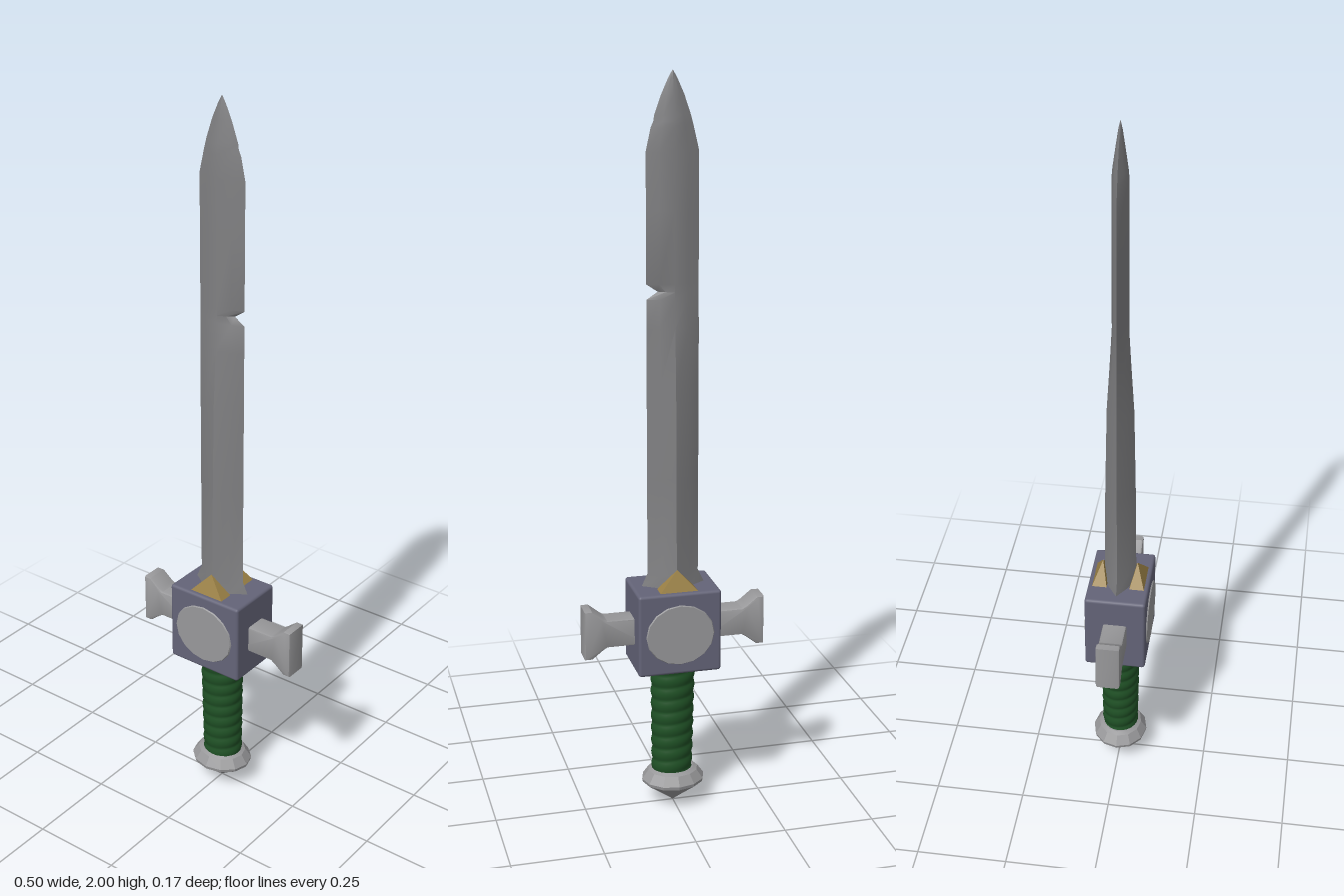
import * as THREE from 'three';
import { toCreasedNormals } from 'three/addons/utils/BufferGeometryUtils.js';
import { RoundedBoxGeometry } from 'three/addons/geometries/RoundedBoxGeometry.js';

const flatColor = (name, color) => {
  const m = new THREE.MeshStandardMaterial({ color });
  m.name = name;
  return m;
};

// Skin a stack of closed rings, each ring running from +x towards +z
function loft(rings) {
  const n = rings[0].length;
  const index = [];
  for (let i = 0; i < rings.length - 1; i++) {
    for (let j = 0; j < n; j++) {
      const k = (j + 1) % n;
      const a = i * n + j, b = i * n + k, c = a + n, d = b + n;
      index.push(a, c, b, b, c, d);
    }
  }
  const g = new THREE.BufferGeometry();
  g.setAttribute('position', new THREE.Float32BufferAttribute(rings.flat(2), 3));
  g.setIndex(index);
  return g;
}

// Blade stations: height, left edge, right edge, half depth
function bladeGeometry() {
  const stations = [
    [0.60, 0.086, 0.086, 0.047], [0.645, 0.086, 0.086, 0.047], [0.68, 0.07, 0.07, 0.044],
    [0.95, 0.07, 0.07, 0.041], [1.2, 0.07, 0.07, 0.036], [1.35, 0.07, 0.07, 0.027],
    [1.425, 0.069, 0.07, 0.023], [1.445, 0.069, 0.04, 0.022], [1.465, 0.069, 0.07, 0.022],
    [1.65, 0.069, 0.07, 0.022], [1.8, 0.069, 0.07, 0.022], [1.86, 0.055, 0.057, 0.021],
    [1.875, 0.051, 0.05, 0.02], [1.89, 0.047, 0.048, 0.018], [1.94, 0.03, 0.03, 0.011],
    [1.98, 0.012, 0.012, 0.005], [2.0, 0.0005, 0.0005, 0.0005],
  ];
  return loft(stations.map(([y, l, r, d]) => [
    [r, y, 0], [0.55 * r, y, 0.55 * d], [0, y, d], [-0.55 * l, y, 0.55 * d],
    [-l, y, 0], [-0.55 * l, y, -0.55 * d], [0, y, -d], [0.55 * r, y, -0.55 * d],
  ]));
}

// Grip with a spiral wrap raised on its surface
function gripGeometry() {
  const rings = [];
  for (let i = 0; i <= 72; i++) {
    const t = i / 72, y = 0.095 + t * 0.33;
    const ring = [];
    for (let j = 0; j < 24; j++) {
      const a = (j / 24) * Math.PI * 2;
      const wrap = Math.abs(Math.sin(t * Math.PI * 9 + a / 2));
      const r = 0.053 + 0.005 * t + 0.004 * wrap;
      ring.push([Math.cos(a) * r + 0.003 * (1 - t), y, Math.sin(a) * r * 0.9]);
    }
    rings.push(ring);
  }
  const g = loft(rings);
  g.computeVertexNormals();
  return g;
}

// Guard arm outline on the +x side, extruded with a soft edge
function guardArmGeometry() {
  const s = new THREE.Shape();
  const top = [[0.09, 0.032], [0.19, 0.032], [0.203, 0.04], [0.232, 0.063], [0.244, 0.063]];
  const pts = [...top, ...top.map(([x, y]) => [x, -y]).reverse()];
  s.setFromPoints(pts.map(([x, y]) => new THREE.Vector2(x, y)));
  const g = new THREE.ExtrudeGeometry(s, {
    depth: 0.054, bevelEnabled: true, bevelSize: 0.006, bevelThickness: 0.006, bevelSegments: 2,
  });
  return toCreasedNormals(g.translate(0, 0, -0.027), 0.6);
}

// Four-sided gem with its apex leaning towards the blade
function gemGeometry() {
  const y = 0.64, apex = [0, 0.7, 0.048];
  const base = [[-0.056, y, 0.03], [-0.056, y, 0.074], [0.056, y, 0.074], [0.056, y, 0.03]];
  const p = [];
  base.forEach((b, i) => p.push(b, base[(i + 1) % 4], apex));
  const g = new THREE.BufferGeometry();
  g.setAttribute('position', new THREE.Float32BufferAttribute(p.flat(), 3));
  g.computeVertexNormals();
  return g;
}

export function createModel() {
  const bladeSteel = flatColor('blade steel', 0x808082);
  const paleSteel = flatColor('pale steel', 0x98989a);
  const slate = flatColor('slate', 0x646478);
  const gold = flatColor('gold', 0x9a8045);
  const green = flatColor('green leather', 0x1f5025);

  const model = new THREE.Group();
  model.name = 'sword';
  const add = (name, geometry, material) => {
    const m = new THREE.Mesh(geometry, material);
    m.name = name;
    model.add(m);
    return m;
  };

  add('blade', toCreasedNormals(bladeGeometry(), 0.7), bladeSteel);
  add('grip', gripGeometry(), green);

  // Guard block in the middle
  add('guardBlock', new RoundedBoxGeometry(0.228, 0.23, 0.168, 2, 0.008), slate)
    .position.set(0, 0.53, 0);

  // Paired arms, round plates and gems
  for (const turn of [0, Math.PI]) {
    const side = turn ? 'Right' : 'Left';
    const face = turn ? 'Back' : 'Front';
    const arm = add('guardArm' + side, guardArmGeometry(), paleSteel);
    arm.position.y = 0.527;
    arm.rotation.y = turn;

    const disc = new THREE.CylinderGeometry(0.09, 0.096, 0.009, 16);
    disc.rotateX(Math.PI / 2).scale(1.02, 0.92, 1).translate(0, 0.528, 0.083);
    add('roundPlate' + face, toCreasedNormals(disc, 0.5), paleSteel).rotation.y = turn;

    add('gem' + face, gemGeometry(), gold).rotation.y = turn;
  }

  // Faceted pommel with a pointed end
  const profile = [[0, 0], [0.035, 0.027], [0.086, 0.064], [0.088, 0.073], [0.07, 0.098], [0.058, 0.104], [0, 0.104]];
  const pommel = new THREE.LatheGeometry(profile.map(([x, y]) => new THREE.Vector2(x, y)), 12);
  pommel.scale(1, 1, 0.88);
  add('pommel', toCreasedNormals(pommel, 0.35), paleSteel);

  return model;
}
